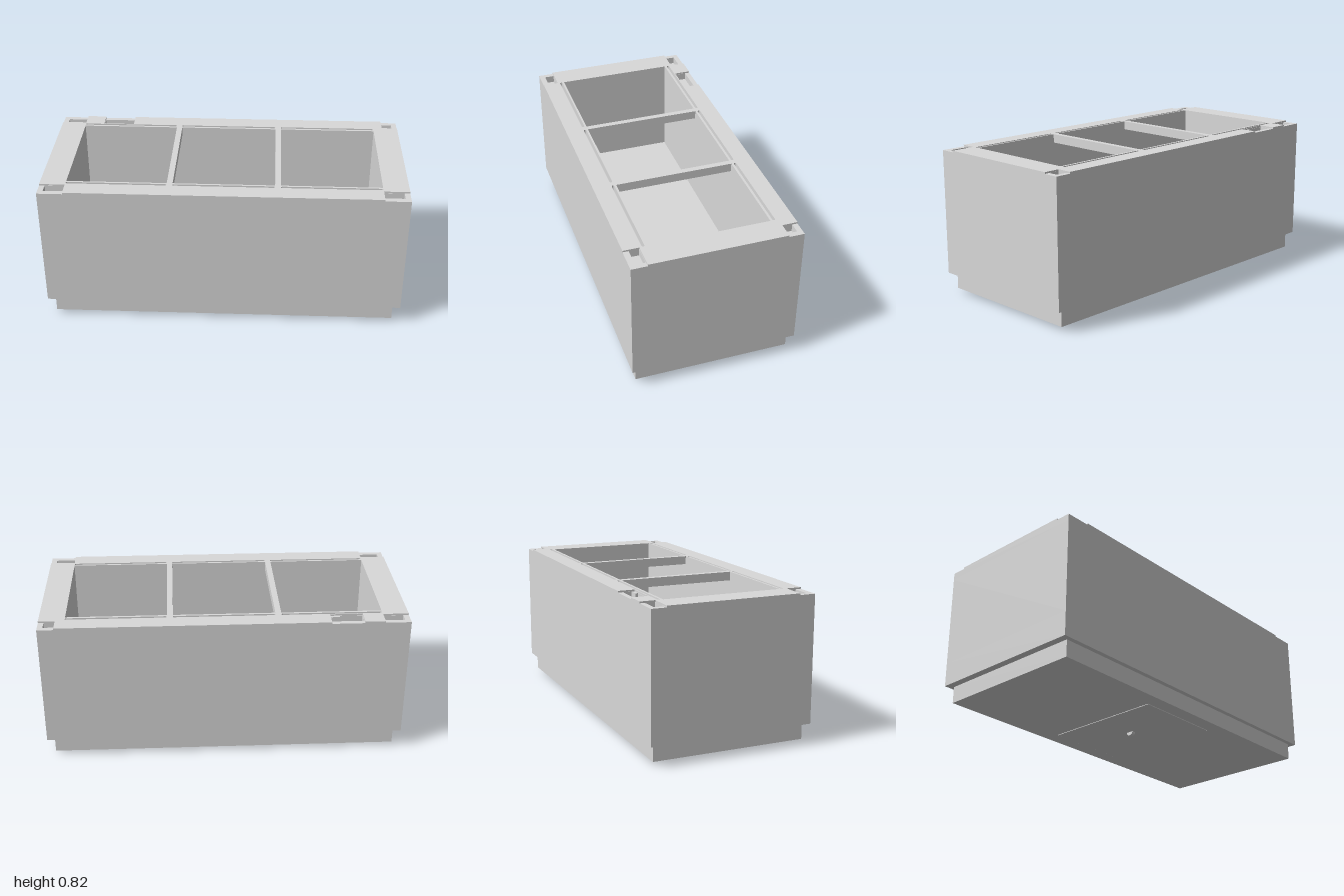
import * as THREE from 'three';

const W = 1, D = 0.457;            // half width and half depth of the cabinet
const CX = 0.858, CZ = 0.33;       // half size of the cavity
const BAYS = [[-CX, -0.31], [-0.278, 0.278], [0.31, CX]];

const corners = pts => pts.map(([x, z]) => new THREE.Vector2(x, -z));
const rect = (x0, x1, z0, z1) => corners([[x0, z0], [x0, z1], [x1, z1], [x1, z0]]);

// Long slot with rounded ends
function slot(x0, x1, z0, z1) {
  const r = (z1 - z0) / 2, z = (z0 + z1) / 2, p = new THREE.Path();
  p.absarc(x1 - r, -z, r, -Math.PI / 2, Math.PI / 2);
  p.absarc(x0 + r, -z, r, Math.PI / 2, Math.PI * 1.5);
  return p;
}

// Horizontal slab between two heights, cut through by holes
function slab(name, outline, holes, y0, y1, material) {
  const shape = new THREE.Shape(outline);
  for (const h of holes) shape.holes.push(h instanceof THREE.Path ? h : new THREE.Path(h));
  const geo = new THREE.ExtrudeGeometry(shape, { depth: y1 - y0, bevelEnabled: false, curveSegments: 6 });
  geo.rotateX(-Math.PI / 2).translate(0, y0, 0);
  const mesh = new THREE.Mesh(geo, material);
  mesh.name = name;
  return mesh;
}

export function createModel() {
  const grey = new THREE.MeshStandardMaterial({ color: 0xd9d9d9 });
  grey.name = 'light grey';
  const model = new THREE.Group();
  model.name = 'cabinet';

  // Three openings, each with a groove in front and behind
  const openings = () => BAYS.flatMap(([a, b]) => [
    rect(a, b, -CZ, CZ),
    slot(a, b, -0.358, -0.343),
    slot(a, b, 0.341, 0.356),
  ]);

  // Deep sockets in the corners and the stepped latch socket at the back
  const sockets = [
    rect(-0.97, -0.86, 0.371, 0.425),
    rect(0.86, 0.97, 0.371, 0.425),
    rect(-0.97, -0.86, -0.428, -0.374),
    rect(0.91, 0.97, -0.428, -0.374),
    corners([[-0.748, -0.429], [-0.748, -0.366], [-0.625, -0.366], [-0.625, -0.381], [-0.574, -0.381], [-0.574, -0.429]]),
  ];

  // Top outline with shallow recesses at the corners and the latch
  const rim = corners([
    [-W, -0.373], [-W, 0.37], [-0.86, 0.37], [-0.86, D],
    [0.86, D], [0.86, 0.37], [W, 0.37], [W, -0.373],
    [0.91, -0.373], [0.91, -D], [-0.572, -D], [-0.572, -0.364],
    [-0.75, -0.364], [-0.75, -D], [-0.86, -D], [-0.86, -0.373],
  ]);
  const full = rect(-W, W, -D, D);
  const foot = rect(-0.96, 0.96, -0.43, 0.43);

  model.add(
    slab('plinthBottom', foot, [rect(-0.258, 0.258, -0.346, 0.346)], 0.0215, 0.03, grey),
    slab('plinth', foot, [], 0.03, 0.115, grey),
    slab('undersidePanel', rect(-0.255, 0.255, -0.343, 0.343), [], 0.02, 0.03, grey),
    slab('thickFloor', full, [], 0.115, 0.25, grey),
    slab('cabinetWalls', full, [rect(-CX, CX, -CZ, CZ)], 0.25, 0.773, grey),
    slab('crossRibsAndSockets', full, [...openings(), ...sockets], 0.773, 0.813, grey),
    slab('topRim', rim, openings(), 0.813, 0.822, grey),
  );

  // Small disc-shaped grip under the panel
  const grip = new THREE.Mesh(new THREE.CylinderGeometry(0.022, 0.022, 0.024, 24), grey);
  grip.name = 'undersideGrip';
  grip.rotation.z = Math.PI / 2;
  grip.position.set(-0.008, 0.022, 0);
  model.add(grip);

  return model;
}
